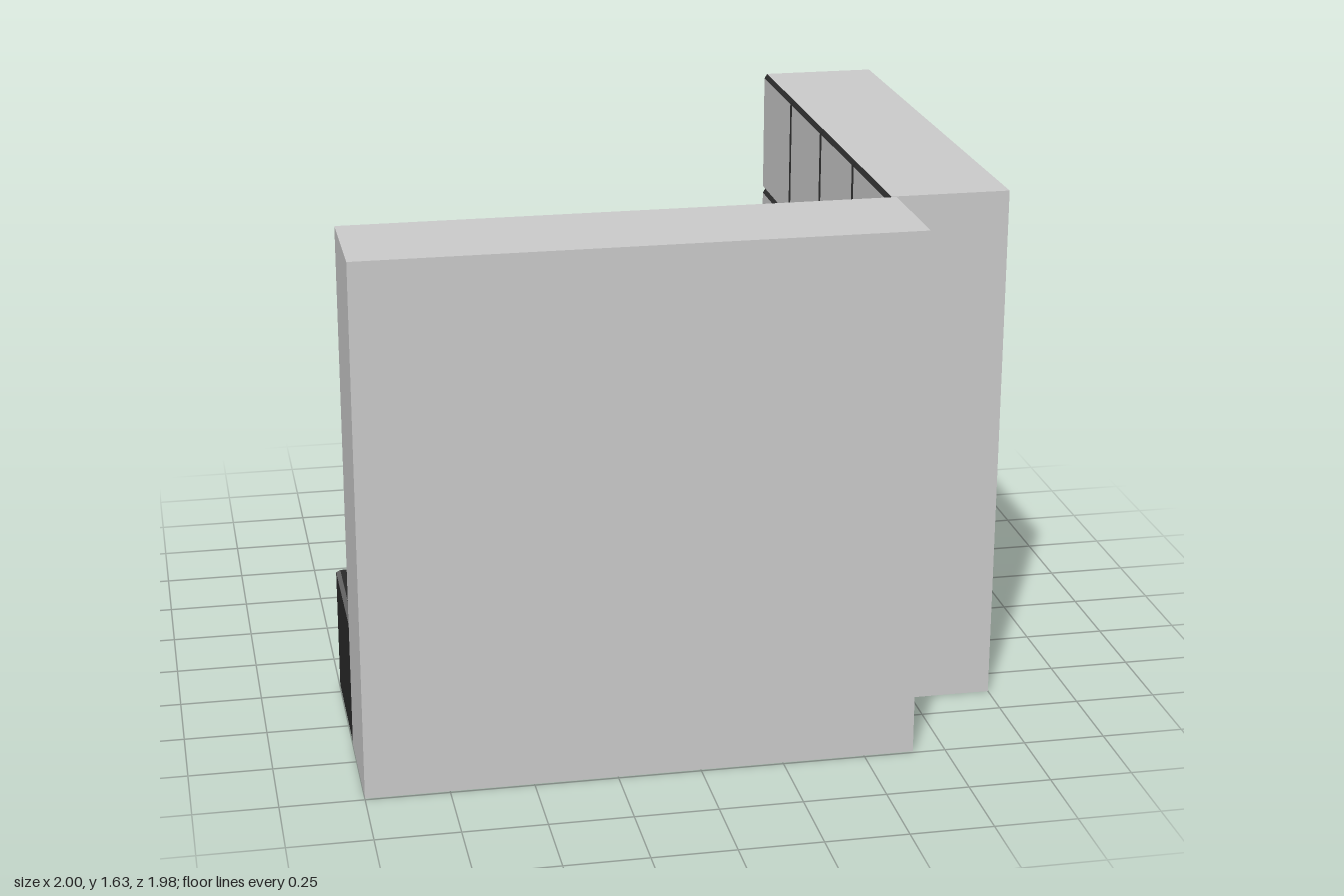
import * as THREE from 'three';

const HEIGHT = 1.63, ROW = HEIGHT / 4, BEVEL = 0.012;

export function createModel() {
  const model = new THREE.Group();
  const mat = (color) => new THREE.MeshStandardMaterial({ color, flatShading: true });
  const grey = mat(0xcccccc), black = mat(0x2a2a2a), trim = mat(0x666666);

  const group = (name) => {
    const g = new THREE.Group();
    g.name = name;
    model.add(g);
    return g;
  };

  // Box given by its lower and upper corners
  const box = (parent, name, a, b, material) => {
    const m = new THREE.Mesh(new THREE.BoxGeometry(b[0] - a[0], b[1] - a[1], b[2] - a[2]), material);
    m.position.set((a[0] + b[0]) / 2, (a[1] + b[1]) / 2, (a[2] + b[2]) / 2);
    m.name = name;
    parent.add(m);
  };

  // Shallow bevelled square tile, base on y = 0, with separate edge and face colours
  const tile = (parent, name, w, d, edge, face, position, rotation = [0, 0, 0]) => {
    const inset = 1 - (2 * BEVEL) / w;
    const geo = new THREE.CylinderGeometry(Math.SQRT1_2 * inset, Math.SQRT1_2, BEVEL, 4, 1);
    geo.rotateY(Math.PI / 4).translate(0, BEVEL / 2, 0).scale(w, 1, d);
    const m = new THREE.Mesh(geo, [edge, face, edge]);
    m.position.set(...position);
    m.rotation.set(...rotation);
    m.name = name;
    parent.add(m);
  };

  // Two thick walls meeting in a corner
  const frontWall = group('frontWall');
  const sideWall = group('sideWall');
  box(frontWall, 'frontWallSlab', [-1, 0, 0.632], [0.652, HEIGHT, 0.992], grey);
  box(sideWall, 'sideWallSlab', [0.638, 0, -0.982], [1, HEIGHT, 0.626], grey);

  // Four by four tiles with dark seams on each inner face
  const stepX = 1.638 / 4, stepZ = 1.608 / 4;
  for (let row = 0; row < 4; row++) {
    const y = (row + 0.5) * ROW;
    for (let col = 0; col < 4; col++) {
      tile(frontWall, 'frontWallTile', stepX, ROW, black, grey,
        [-1 + (col + 0.5) * stepX, y, 0.632], [-Math.PI / 2, 0, 0]);
      tile(sideWall, 'sideWallTile', ROW, stepZ, black, grey,
        [0.638, y, -0.982 + (col + 0.5) * stepZ], [0, 0, Math.PI / 2]);
    }
  }

  // L-shaped bench: two straight bodies, with bevelled tiles above and below
  const bench = group('bench');
  const xs = [-1, -0.587, -0.174, 0.239];
  const zs = [-0.992, -0.587, -0.182, 0.223, 0.628];
  const low = BEVEL, high = ROW - BEVEL;
  box(bench, 'benchLongBody', [xs[2], low, zs[0]], [xs[3], high, zs[4]], black);
  box(bench, 'benchShortBody', [xs[0], low, zs[3]], [xs[2], high, zs[4]], black);
  const cells = [[0, 3], [1, 3], [2, 0], [2, 1], [2, 2], [2, 3]];
  for (const [i, j] of cells) {
    const w = xs[i + 1] - xs[i], d = zs[j + 1] - zs[j];
    const x = xs[i] + w / 2, z = zs[j] + d / 2;
    tile(bench, 'benchTopTile', w, d, trim, black, [x, high, z]);
    tile(bench, 'benchBottomTile', w, d, black, black, [x, low, z], [Math.PI, 0, 0]);
  }

  return model;
}
